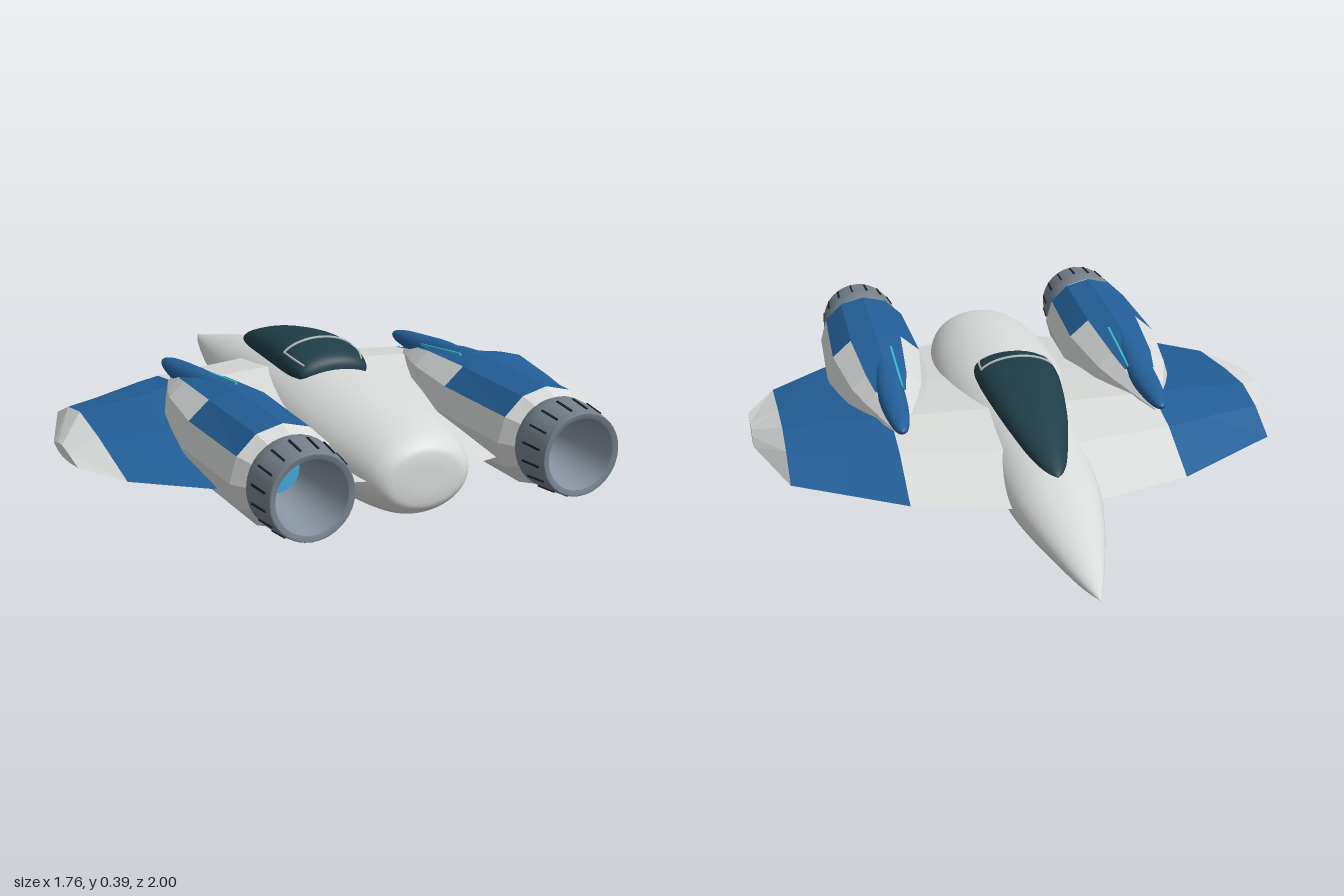
import * as THREE from 'three';

const V = (x, y, z) => new THREE.Vector3(x, y, z);

const mat = (name, color) => {
  const m = new THREE.MeshStandardMaterial({ color });
  m.name = name;
  return m;
};

// Skin between closed rings of equal length; groups start a new material per cell.
function loft(rings, { flip = false, smooth = false, paint = null } = {}) {
  const n = rings[0].length, index = [], groups = [];
  for (let i = 0; i < rings.length - 1; i++) {
    for (let j = 0; j < n; j++) {
      const a = i * n + j, b = i * n + (j + 1) % n, c = a + n, d = b + n;
      if (paint) groups.push([index.length, 6, paint(i, j)]);
      index.push(...(flip ? [a, b, c, b, d, c] : [a, c, b, b, c, d]));
    }
  }
  let g = new THREE.BufferGeometry().setFromPoints(rings.flat());
  g.setIndex(index);
  if (!smooth) g = g.toNonIndexed();
  groups.forEach((r) => g.addGroup(...r));
  g.computeVertexNormals();
  return g;
}

// Elliptical ring from a row [z, halfWidth, top, bottom], starting at the top
const ring = ([z, w, top, bot], n) => Array.from({ length: n }, (_, j) => {
  const a = j / n * Math.PI * 2;
  return V(Math.sin(a) * w, (top + bot) / 2 + Math.cos(a) * (top - bot) / 2, z);
});

// Smooth body through rows, interpolated by spline
function body(rows, n = 40, steps = 60) {
  const width = new THREE.CatmullRomCurve3(rows.map((r) => V(r[0], r[1], 0)), false, 'catmullrom', 0.5);
  const height = new THREE.CatmullRomCurve3(rows.map((r) => V(r[0], r[2], r[3])), false, 'catmullrom', 0.5);
  const rings = [];
  for (let i = 0; i <= steps; i++) {
    const p = width.getPoint(i / steps), q = height.getPoint(i / steps);
    rings.push(ring([p.x, Math.max(p.y, 0), q.y, q.z], n));
  }
  return loft(rings, { smooth: true });
}

export function createModel() {
  const root = new THREE.Group();
  root.name = 'starfighter';
  const white = mat('hull white', 0xd9dcda);
  const blue = mat('panel blue', 0x235f98);
  const glass = mat('canopy glass', 0x1f3e48);
  const steel = mat('nozzle steel', 0x75818c);
  const inner = mat('nozzle lining', 0x8793a0);
  const dark = mat('slot black', 0x1c2126);
  const glow = mat('engine glow', 0x46a9dc);
  const cyan = mat('light strip', 0x35b5cf);
  const trim = mat('canopy frame', 0xb4bab8);

  const add = (parent, name, geometry, material) => {
    const m = new THREE.Mesh(geometry, material);
    m.name = name;
    parent.add(m);
    return m;
  };

  // Fuselage with pointed nose and rounded tail
  add(root, 'fuselage', body([
    [-1, 0, 0.13, 0.13], [-0.9, 0.036, 0.153, 0.107], [-0.75, 0.08, 0.19, 0.087],
    [-0.6, 0.118, 0.225, 0.068], [-0.45, 0.145, 0.257, 0.05], [-0.2, 0.165, 0.29, 0.027],
    [0.05, 0.2, 0.31, 0.01], [0.3, 0.224, 0.32, 0.001], [0.5, 0.221, 0.315, 0.004],
    [0.68, 0.198, 0.3, 0.016], [0.79, 0.17, 0.28, 0.03], [0.84, 0.135, 0.25, 0.058],
    [0.853, 0.085, 0.215, 0.095], [0.855, 0, 0.155, 0.155],
  ], 48, 91), white);

  // Cockpit canopy
  add(root, 'canopy', body([
    [-0.49, 0, 0.25, 0.25], [-0.46, 0.026, 0.268, 0.235], [-0.38, 0.056, 0.301, 0.23],
    [-0.2, 0.1, 0.355, 0.245], [0, 0.128, 0.389, 0.25], [0.12, 0.134, 0.388, 0.25],
    [0.2, 0.126, 0.37, 0.255], [0.24, 0.1, 0.345, 0.26], [0.25, 0, 0.305, 0.305],
  ]), glass);
  const arch = [], rails = [[], []];
  for (let i = 0; i <= 16; i++) {
    const a = (i / 16 - 0.5) * Math.PI * 0.7;
    arch.push(V(Math.sin(a) * 0.134, 0.319 + Math.cos(a) * 0.071, 0.11));
  }
  add(root, 'canopyArch', new THREE.TubeGeometry(new THREE.CatmullRomCurve3(arch), 24, 0.005, 6), trim);
  [-1, 1].forEach((s, k) => {
    rails[k] = [V(s * 0.117, 0.352, 0.11), V(s * 0.113, 0.346, 0.18), V(s * 0.098, 0.334, 0.225)];
    add(root, 'canopyRail', new THREE.TubeGeometry(new THREE.CatmullRomCurve3(rails[k]), 10, 0.004, 6), trim);
  });

  // Wings: stations [x, leading z, trailing z, top, bottom]
  const stations = [
    [0.06, -0.505, 0.83, 0.275, 0.07], [0.44, -0.4, 0.73, 0.262, 0.078],
    [0.59, -0.308, 0.675, 0.247, 0.084], [0.785, -0.19, 0.525, 0.23, 0.092],
    [0.88, 0.1, 0.36, 0.174, 0.138],
  ];
  const edge = 0.155;
  const wingRing = (s, [x, z0, z1, top, bot]) => [
    [0, edge], [0.18, edge + (top - edge) * 0.72], [0.36, top], [0.62, edge + (top - edge) * 0.68],
    [1, edge], [0.62, edge + (bot - edge) * 0.75], [0.36, bot], [0.18, edge + (bot - edge) * 0.75],
  ].map(([f, y]) => V(s * x, y, z0 + (z1 - z0) * f));

  for (const s of [1, -1]) {
    const label = s > 0 ? 'left' : 'right';
    const rings = stations.map((st) => wingRing(s, st));
    rings.push(rings[4].map(() => V(s * 0.88, edge, 0.22)));
    const flip = s > 0;
    add(root, label + 'WingRoot', loft(rings.slice(0, 2), { flip }), white);
    add(root, label + 'WingPanel', loft(rings.slice(1, 4), { flip }), blue);
    add(root, label + 'WingTip', loft(rings.slice(3), { flip }), white);

    const engine = new THREE.Group();
    engine.name = label + 'Engine';
    engine.position.x = s * 0.423;
    root.add(engine);

    // Twelve-sided nacelle with blue upper facets
    const nacelle = [
      [-0.1, 0, 0.25, 0.25], [-0.03, 0.045, 0.287, 0.2], [0.1, 0.1, 0.322, 0.135],
      [0.2, 0.135, 0.343, 0.1], [0.46, 0.174, 0.366, 0.056], [0.8, 0.16, 0.364, 0.056],
      [0.85, 0.132, 0.343, 0.08],
    ].map((r) => ring(r, 12));
    const paint = (i, j) => {
      const k = Math.min(j, 11 - j);
      return (i === 4 && k < 2) || ((i === 2 || i === 3) && k < 1) ? 1 : 0;
    };
    add(engine, 'nacelle', loft(nacelle, { paint }), [white, blue]);

    // Pointed fairing on top
    add(engine, 'fairing', body([
      [-0.172, 0, 0.292, 0.292], [-0.15, 0.019, 0.305, 0.276], [-0.08, 0.034, 0.319, 0.266],
      [0.05, 0.045, 0.334, 0.262], [0.2, 0.04, 0.349, 0.28], [0.4, 0, 0.35, 0.35],
    ], 20, 30), blue);
    const strip = add(engine, 'lightStrip', new THREE.BoxGeometry(0.007, 0.008, 0.262), cyan);
    strip.position.set(-s * 0.039, 0.336, 0.23);
    strip.rotation.x = -0.125;

    // Nozzle shell, lining and glow, turned about the z axis
    const nozzle = new THREE.Group();
    nozzle.name = 'nozzle';
    nozzle.position.y = 0.213;
    engine.add(nozzle);
    const turned = (pts) => new THREE.LatheGeometry(
      pts.map(([r, z]) => new THREE.Vector2(r, z)), 32).rotateX(Math.PI / 2);
    add(nozzle, 'nozzleShell', turned([[0.122, 0.83], [0.138, 0.865], [0.138, 0.9], [0.129, 0.985], [0.126, 0.998]]), steel);
    add(nozzle, 'nozzleLip', turned([[0.126, 0.998], [0.122, 1], [0.108, 0.995]]), steel);
    add(nozzle, 'nozzleLining', turned([[0.108, 0.995], [0.096, 0.93], [0.066, 0.76]]), inner);
    add(nozzle, 'engineGlow', new THREE.CircleGeometry(0.068, 32), glow).position.z = 0.762;

    // Dark slots around the nozzle
    for (let i = 0; i < 16; i++) {
      const pivot = new THREE.Group();
      pivot.name = 'nozzleSlot';
      pivot.rotation.z = (i + 0.5) / 16 * Math.PI * 2;
      nozzle.add(pivot);
      const slot = add(pivot, 'slot', new THREE.BoxGeometry(0.006, 0.008, 0.075), dark);
      slot.position.set(0, 0.1335, 0.938);
      slot.rotation.x = 0.105;
    }
  }
  return root;
}
